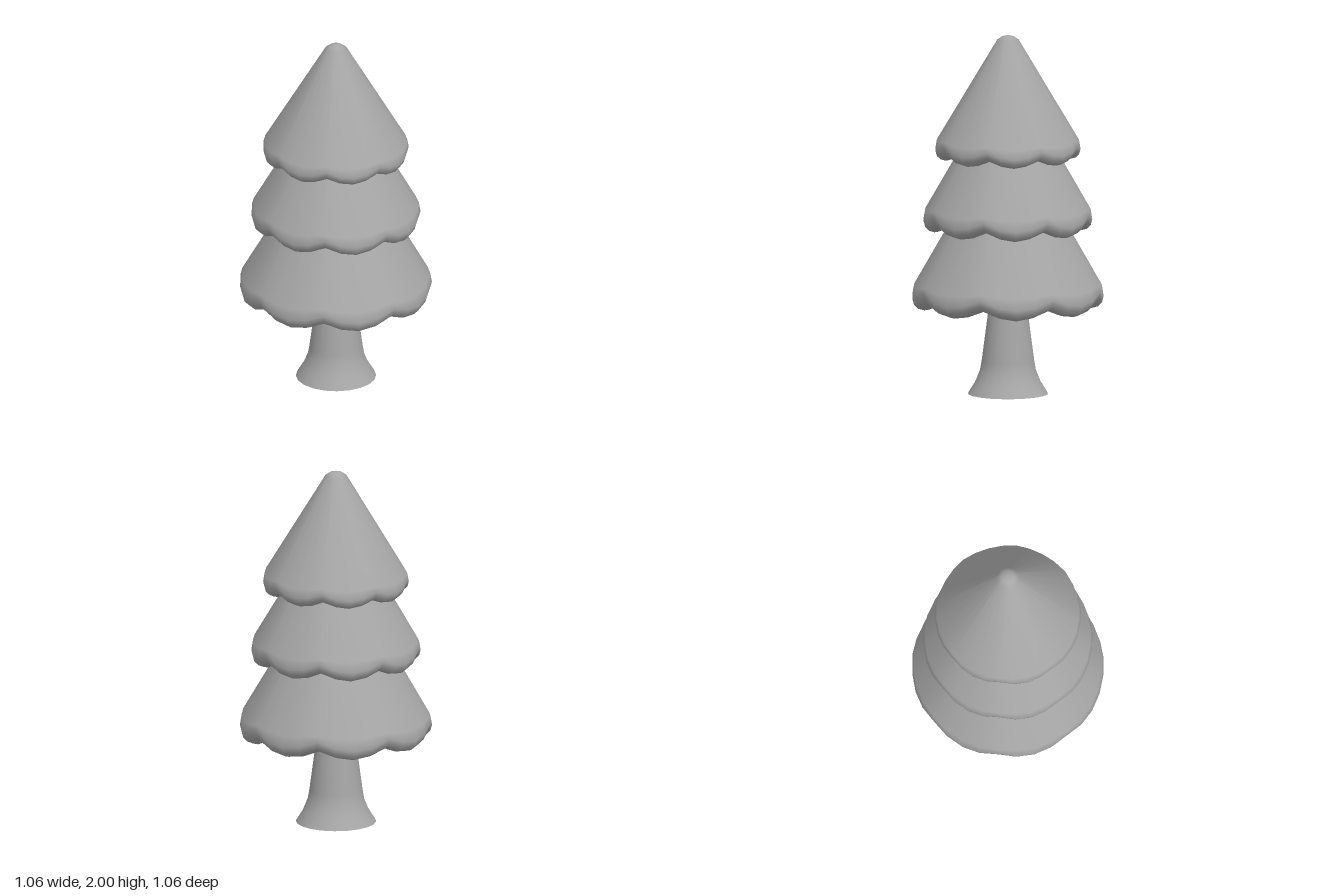
import * as THREE from 'three';
import { mergeVertices } from 'three/addons/utils/BufferGeometryUtils.js';

const grey = new THREE.MeshStandardMaterial({ color: 0xa6a6a6, side: THREE.DoubleSide });
grey.name = 'grey';

const LOBES = 8;

// Lathe with an optional vertical shift rule, welded for smooth shading
function turned(name, profile, segments, shift) {
  let geo = new THREE.LatheGeometry(profile.map(([r, y]) => new THREE.Vector2(r, y)), segments);
  const pos = geo.attributes.position;
  if (shift) {
    for (let i = 0; i < pos.count; i++) {
      const angle = Math.floor(i / profile.length) / segments * Math.PI * 2;
      pos.setY(i, pos.getY(i) - shift(angle, i % profile.length));
    }
  }
  geo.deleteAttribute('uv');
  geo.deleteAttribute('normal');
  geo = mergeVertices(geo, 1e-4);
  geo.computeVertexNormals();
  const mesh = new THREE.Mesh(geo, grey);
  mesh.name = name;
  return mesh;
}

// Hollow cone of foliage with a rolled, scalloped lower lip
function foliage(name, radius, lipY, roll, drop, top) {
  const mid = radius - roll;
  const [topR, topY] = top[0];
  const profile = [[Math.max(topR - 0.03, 0.02), topY - 0.06], [mid - roll * 0.8, lipY + roll * 0.7]];
  const weights = [0, 0.6];
  for (const deg of [180, 210, 240, 270, 300, 330, 360, 392]) {
    const a = THREE.MathUtils.degToRad(deg);
    profile.push([mid + roll * Math.cos(a), lipY + roll * Math.sin(a)]);
    weights.push(deg > 360 ? 0.4 : 1);
  }
  for (const p of top) {
    profile.push(p);
    weights.push(0);
  }
  return turned(name, profile, 32,
    (angle, k) => weights[k] * drop * Math.abs(Math.sin(angle * LOBES / 2)));
}

export function createModel() {
  const tree = new THREE.Group();
  tree.name = 'tree';

  // Flared open trunk
  tree.add(turned('trunk', [
    [0.222, 0], [0.182, 0.065], [0.156, 0.13], [0.147, 0.18], [0.107, 0.48], [0.08, 0.67],
  ], 20));

  // Three stacked tiers; the upper one carries the rounded tip
  tree.add(foliage('lowerFoliage', 0.53, 0.585, 0.065, 0.05, [[0.2, 1.165]]));
  tree.add(foliage('middleFoliage', 0.467, 1.01, 0.06, 0.046, [[0.18, 1.51]]));
  tree.add(foliage('upperFoliage', 0.402, 1.395, 0.055, 0.037,
    [[0.06, 1.972], [0.035, 1.99], [0, 2]]));

  return tree;
}
